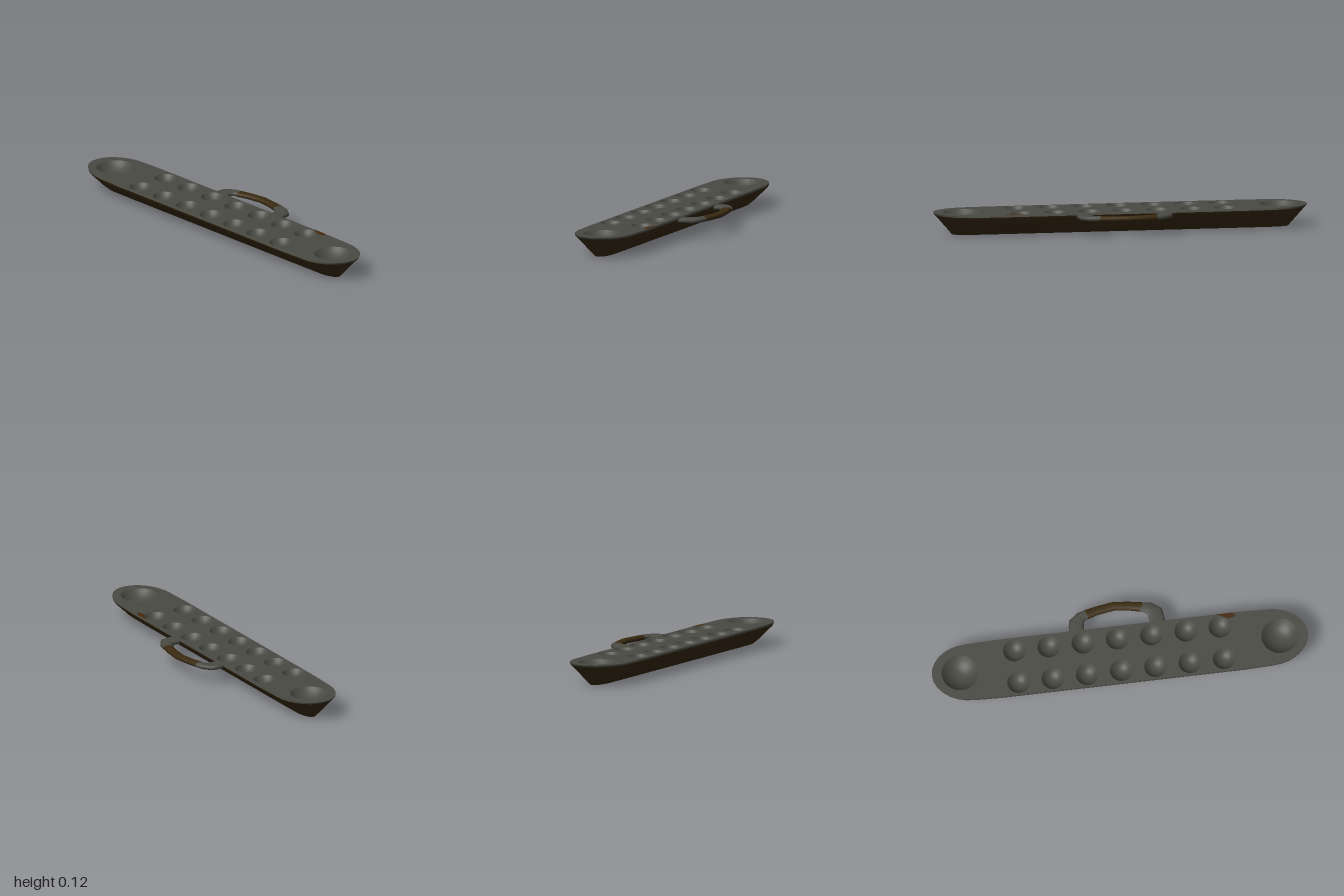
import * as THREE from 'three';

const CX = -0.07, TOP = 0.117;

// Skin a list of equal-length closed rings of Vector3, with optional flat end caps
function loft(rings, caps = false) {
  const n = rings[0].length, pos = [], idx = [];
  const add = (p) => pos.push(p.x, p.y, p.z) / 3 - 1;
  rings.forEach((ring) => ring.forEach(add));
  for (let r = 0; r < rings.length - 1; r++) {
    for (let i = 0; i < n; i++) {
      const a = r * n + i, b = r * n + (i + 1) % n;
      idx.push(a, a + n, b, b, a + n, b + n);
    }
  }
  if (caps) {
    [rings[0], rings[rings.length - 1]].forEach((ring, end) => {
      const base = pos.length / 3;
      ring.forEach(add);
      for (let i = 1; i < n - 1; i++) {
        if (end) idx.push(base, base + i + 1, base + i);
        else idx.push(base, base + i, base + i + 1);
      }
    });
  }
  const g = new THREE.BufferGeometry();
  g.setAttribute('position', new THREE.Float32BufferAttribute(pos, 3));
  g.setIndex(idx);
  g.computeVertexNormals();
  return g;
}

// Long outline with rounded ends: half width w, half length l, as [x, z] pairs
function outline(w, l) {
  const pts = [], steps = 14, b = 0.06 + 0.14 * w / 0.16;
  for (const s of [1, -1]) {
    pts.push([CX + s * w, -s * 0.65]);
    for (let i = 0; i <= steps; i++) {
      const t = (i / steps) * Math.PI;
      pts.push([CX + s * Math.cos(t) * w * 0.97, -s * (l - b + Math.sin(t) * b)]);
    }
    pts.push([CX - s * w, -s * 0.65]);
  }
  return pts;
}

const level = ([y, w, l]) => outline(w, l).map(([x, z]) => new THREE.Vector3(x, y, z));

export function createModel() {
  const group = new THREE.Group();
  const make = (name, color) => {
    const m = new THREE.MeshStandardMaterial({ color, side: THREE.DoubleSide });
    m.name = name;
    return m;
  };
  const grey = make('stoneGrey', 0x4a4a43);
  const brown = make('darkBrown', 0x3a2a10);
  const rust = make('rustBrown', 0x46280c);
  const add = (name, geometry, material) => {
    const mesh = new THREE.Mesh(geometry, material);
    mesh.name = name;
    group.add(mesh);
    return mesh;
  };

  // Boat-shaped underside, then the thin rim above it
  const hull = [[0, 0.045, 0.9], [0.033, 0.09, 0.928], [0.052, 0.107, 0.945],
    [0.07, 0.13, 0.96], [0.085, 0.145, 0.973], [0.098, 0.16, 0.985], [0.108, 0.163, 0.995]];
  add('underside', loft(hull.map(level).reverse()), brown);
  add('rim', loft([[TOP, 0.16, 1], [0.108, 0.163, 0.995]].map(level)), grey);
  const base = new THREE.ShapeGeometry(
    new THREE.Shape(outline(0.045, 0.9).map(([x, z]) => new THREE.Vector2(x, z))));
  base.rotateX(Math.PI / 2);
  add('base', base, brown);

  // Pits: two rows of seven and a larger store at each end
  const pits = [-0.85, 0.85].map((z) => ({ name: 'endStore', x: CX, z, r: 0.098, d: 0.05 }));
  for (let i = 0; i < 7; i++) {
    for (const x of [-0.161, 0.018]) {
      pits.push({ name: 'pit', x, z: -0.55 + i * 0.182, r: 0.06, d: 0.036 });
    }
  }

  // Top plate pierced by the pits
  const plate = new THREE.Shape(outline(0.16, 1).map(([x, z]) => new THREE.Vector2(x, -z)));
  for (const p of pits) {
    plate.holes.push(new THREE.Path().absarc(p.x, -p.z, p.r, 0, Math.PI * 2, true));
  }
  const plateGeometry = new THREE.ShapeGeometry(plate, 14);
  plateGeometry.rotateX(-Math.PI / 2).translate(0, TOP, 0);
  add('topPlate', plateGeometry, grey);

  // Round bowls inside the holes
  for (const p of pits) {
    const profile = [];
    for (let i = 0; i <= 8; i++) {
      const t = i / 8;
      profile.push(new THREE.Vector2(p.r * (1 - t), -p.d * (1 - (1 - t) ** 2.4)));
    }
    add(p.name, new THREE.LatheGeometry(profile, 28), grey).position.set(p.x, TOP, p.z);
  }

  // Worn patch on the edge
  const patch = new THREE.ShapeGeometry(new THREE.Shape(
    [[0.058, 0.59], [0.09, 0.53], [0.09, 0.615], [0.07, 0.635]]
      .map(([x, z]) => new THREE.Vector2(x, -z))));
  patch.rotateX(-Math.PI / 2).translate(0, TOP + 0.001, 0);
  add('wornPatch', patch, rust);

  // Side handle: inner and outer edge [x, z] of each station
  const stations = [
    [0.075, -0.17, 0.075, -0.25], [0.115, -0.17, 0.115, -0.25], [0.14, -0.165, 0.155, -0.243],
    [0.15, -0.155, 0.192, -0.195], [0.152, -0.14, 0.204, -0.155], [0.17, -0.085, 0.217, -0.09],
    [0.183, 0, 0.231, 0], [0.175, 0.075, 0.222, 0.085], [0.16, 0.135, 0.21, 0.155],
    [0.154, 0.155, 0.202, 0.2], [0.14, 0.172, 0.168, 0.25], [0.115, 0.178, 0.115, 0.26],
    [0.075, 0.178, 0.075, 0.26]];
  const sections = stations.map(([ix, iz, ox, oz]) => {
    const ring = [];
    for (let i = 0; i < 12; i++) {
      const a = (i / 12) * Math.PI * 2;
      const u = 0.5 + 0.5 * Math.sign(Math.cos(a)) * Math.abs(Math.cos(a)) ** 0.7;
      const v = Math.sign(Math.sin(a)) * Math.abs(Math.sin(a)) ** 0.7;
      ring.push(new THREE.Vector3(ix + (ox - ix) * u, 0.101 + 0.0135 * v, iz + (oz - iz) * u));
    }
    return ring;
  });
  add('handleBackEnd', loft(sections.slice(0, 5), true), grey);
  add('handleGrip', loft(sections.slice(4, 9), true), brown);
  add('handleFrontEnd', loft(sections.slice(8), true), grey);

  return group;
}
